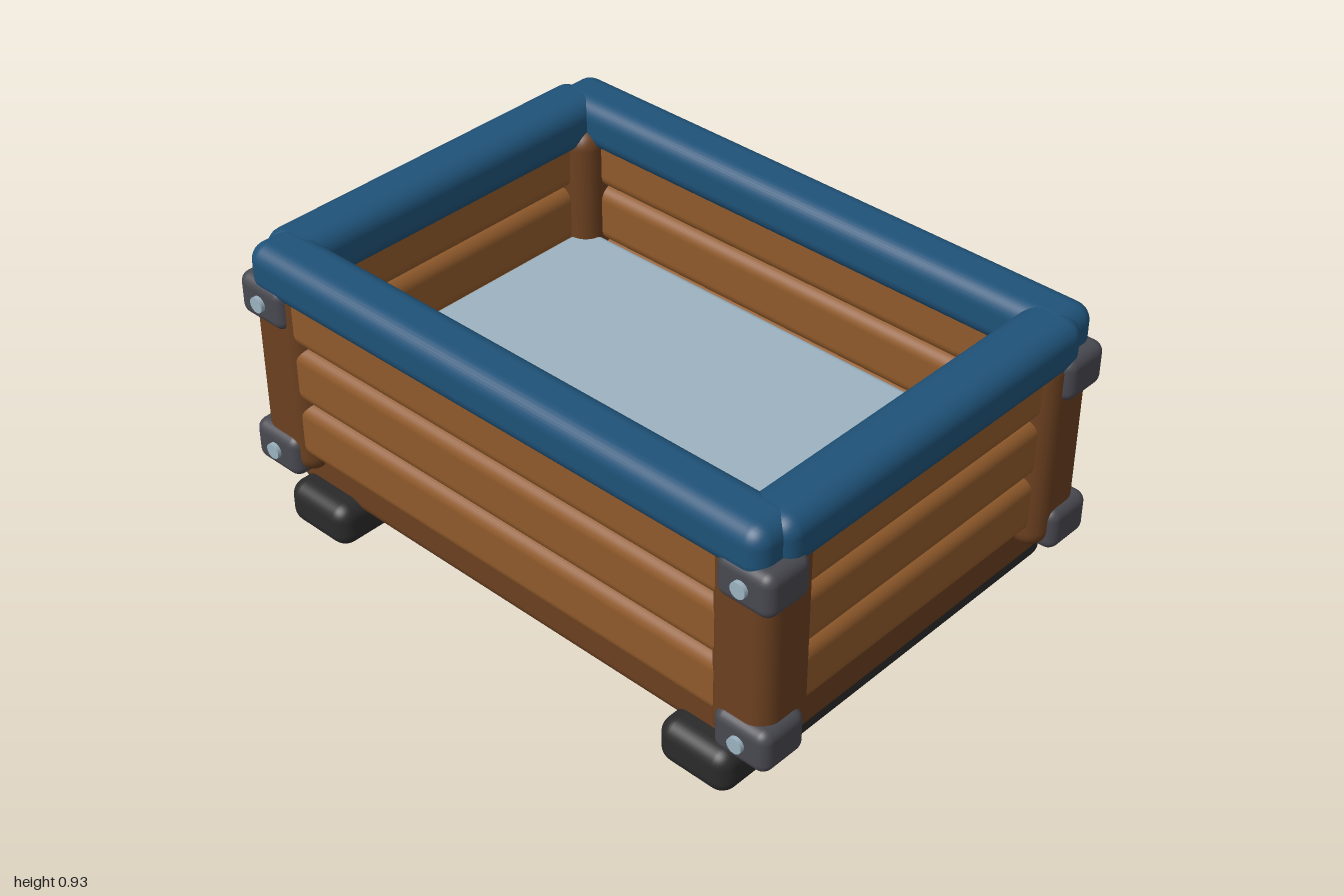
import * as THREE from 'three';
import { RoundedBoxGeometry } from 'three/addons/geometries/RoundedBoxGeometry.js';

function material(name, color) {
  const m = new THREE.MeshStandardMaterial({ color });
  m.name = name;
  return m;
}

export function createModel() {
  const plankWood = material('plank wood', 0x905a2b);
  const frameWood = material('frame wood', 0x6b4020);
  const rimBlue = material('rim blue', 0x1f5278);
  const clampIron = material('clamp iron', 0x484850);
  const skidBlack = material('skid black', 0x2a2a2a);
  const paleSteel = material('pale steel', 0x9cb3c0);

  const model = new THREE.Group();
  model.name = 'crate';

  // Rounded block given by its extent along each axis
  function block(name, mat, [x0, x1], [y0, y1], [z0, z1], radius) {
    const geometry = new RoundedBoxGeometry(x1 - x0, y1 - y0, z1 - z0, 4, radius);
    const mesh = new THREE.Mesh(geometry, mat);
    mesh.name = name;
    mesh.position.set((x0 + x1) / 2, (y0 + y1) / 2, (z0 + z1) / 2);
    model.add(mesh);
  }
  // Range from a to b, mirrored when s is -1
  const side = (s, a, b) => (s > 0 ? [a, b] : [-b, -a]);

  // Base and inner floor
  block('base', frameWood, [-0.91, 0.91], [0.096, 0.28], [-0.621, 0.621], 0.045);
  block('floor', paleSteel, [-0.85, 0.85], [0.27, 0.467], [-0.55, 0.55], 0.03);

  for (const s of [1, -1]) {
    // Skids under the base
    block('skid', skidBlack, side(s, 0.62, 0.87), [0, 0.145], [-0.702, 0.702], 0.05);

    // Wall planks, three on each wall
    for (let i = 0; i < 3; i++) {
      const y = [0.245 + i * 0.195, 0.44 + i * 0.195];
      block('longPlank', plankWood, [-0.87, 0.87], y, side(s, 0.545, 0.67), 0.045);
      block('shortPlank', plankWood, side(s, 0.835, 0.947), y, [-0.57, 0.57], 0.045);
    }

    // Padded rim
    block('longRim', rimBlue, [-0.96, 0.96], [0.77, 0.931], side(s, 0.52, 0.693), 0.055);
    block('shortRim', rimBlue, side(s, 0.805, 0.985), [0.77, 0.93], [-0.615, 0.615], 0.055);

    for (const t of [1, -1]) {
      // Corner posts
      block('cornerPost', frameWood, side(s, 0.77, 0.977), [0.178, 0.84], side(t, 0.473, 0.679), 0.06);

      // Corner clamps with their bolts
      for (const y of [0.237, 0.753]) {
        block('cornerClamp', clampIron, side(s, 0.812, 1), [y - 0.07, y + 0.07], side(t, 0.53, 0.697), 0.035);
        const bolt = new THREE.Mesh(new THREE.CylinderGeometry(0.025, 0.025, 0.05, 16), paleSteel);
        bolt.name = 'bolt';
        bolt.rotation.x = Math.PI / 2;
        bolt.position.set(s * 0.906, y, t * 0.685);
        model.add(bolt);
      }
    }
  }
  return model;
}
